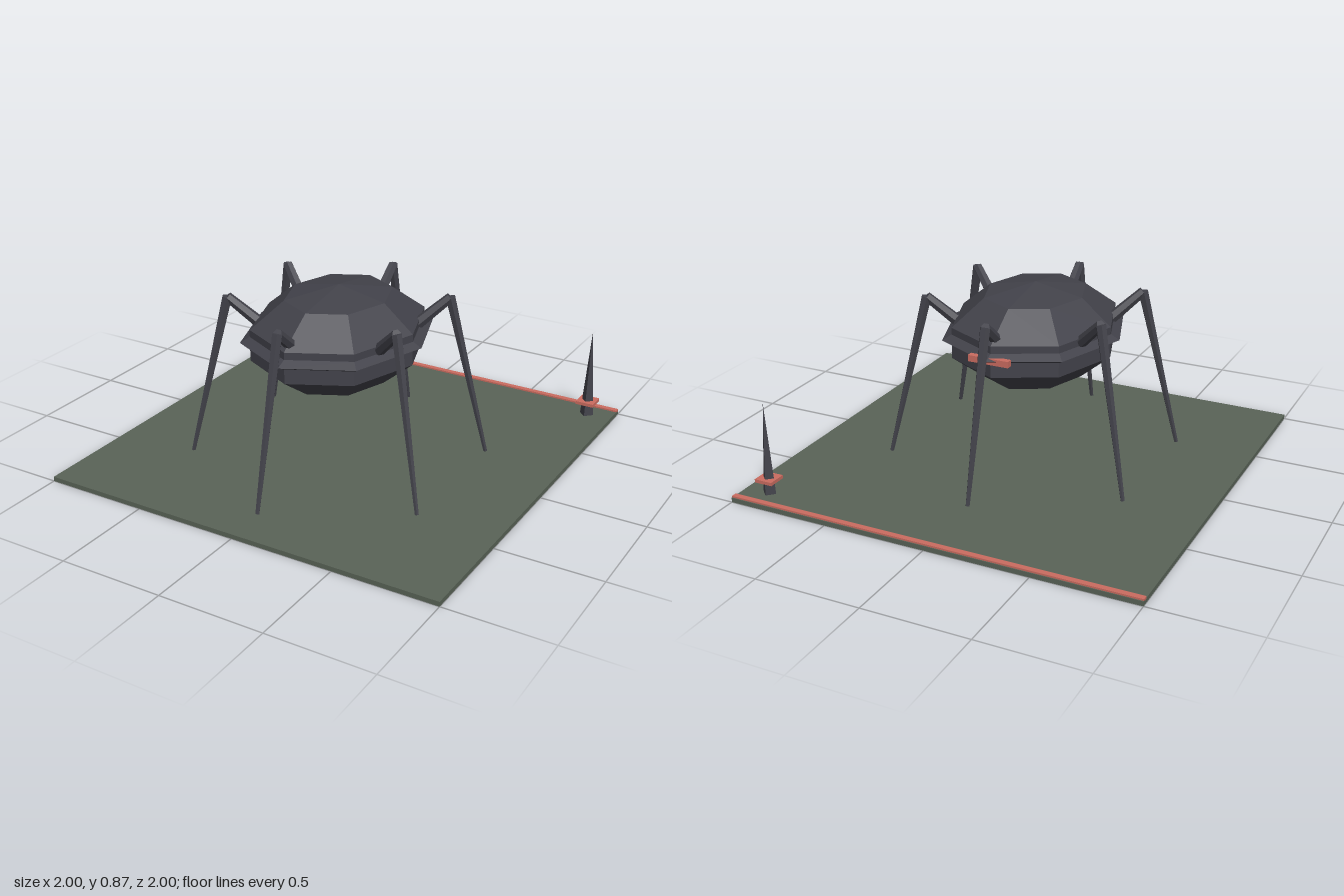
import * as THREE from 'three';

const mat = (name, color) => {
  const m = new THREE.MeshStandardMaterial({ color, flatShading: true });
  m.name = name;
  return m;
};

export function createModel() {
  const root = new THREE.Group();
  root.name = 'walkerOnPlate';
  const dark = mat('darkMetal', 0x42424a);
  const green = mat('groundGreen', 0x596357);
  const red = mat('signalRed', 0xcb6c60);

  const add = (parent, name, geo, material, x = 0, y = 0, z = 0) => {
    const mesh = new THREE.Mesh(geo, material);
    mesh.name = name;
    mesh.position.set(x, y, z);
    parent.add(mesh);
    return mesh;
  };

  // Tapered strut between two points
  const strut = (parent, name, a, b, ra, rb) => {
    const dir = b.clone().sub(a);
    const mesh = add(parent, name, new THREE.CylinderGeometry(rb, ra, dir.length(), 6), dark);
    mesh.position.copy(a).add(b).multiplyScalar(0.5);
    mesh.quaternion.setFromUnitVectors(new THREE.Vector3(0, 1, 0), dir.normalize());
  };

  // Ground plate with a stripe along the back edge
  add(root, 'groundPlate', new THREE.BoxGeometry(2, 0.022, 2), green, 0, 0.011, 0);
  add(root, 'backStripe', new THREE.BoxGeometry(2, 0.012, 0.027), red, 0, 0.024, -0.982);

  // Walker, centred a little towards the front
  const walker = new THREE.Group();
  walker.name = 'walker';
  walker.position.z = 0.1;
  root.add(walker);

  const hull = new THREE.SphereGeometry(1, 8, 5).scale(0.405, 0.242, 0.487);
  add(walker, 'hull', hull, dark, 0, 0.63, 0);

  // Sharp-edged belt around the hull
  const belt = new THREE.TorusGeometry(0.388, 0.042, 4, 8)
    .rotateX(Math.PI / 2).scale(1, 0.55, 1.19);
  add(walker, 'belt', belt, dark, 0, 0.648, 0);
  add(walker, 'rearLight', new THREE.BoxGeometry(0.2, 0.03, 0.03), red, 0, 0.643, -0.475);

  // Six identical legs
  for (let i = 0; i < 6; i++) {
    const leg = new THREE.Group();
    leg.name = `leg${i + 1}`;
    leg.rotation.y = Math.PI / 6 + i * Math.PI / 3;
    const hip = new THREE.Vector3(0.355, 0.675, 0);
    const knee = new THREE.Vector3(0.51, 0.81, 0);
    const foot = new THREE.Vector3(0.7, 0.022, 0);
    strut(leg, 'upperLeg', hip, knee, 0.029, 0.023);
    strut(leg, 'lowerLeg', knee, foot, 0.025, 0.01);
    walker.add(leg);
  }

  // Corner spire with collar
  add(root, 'spire', new THREE.ConeGeometry(0.035, 0.445, 4), dark, 0.875, 0.2425, -0.88);
  add(root, 'spireCollar', new THREE.BoxGeometry(0.09, 0.016, 0.09), red, 0.875, 0.092, -0.88);

  return root;
}
